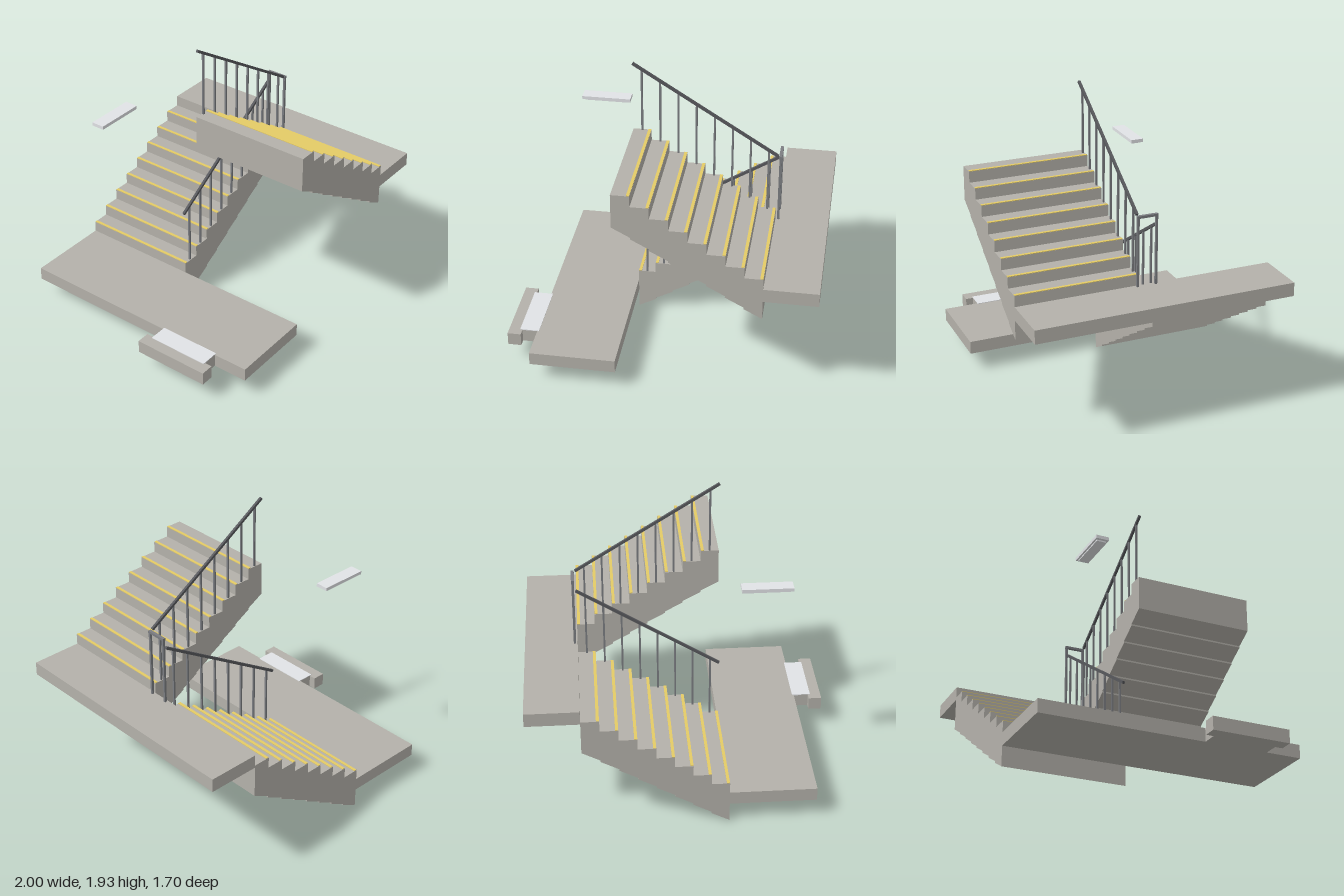
import * as THREE from 'three';

const mat = (name, color) => {
  const m = new THREE.MeshStandardMaterial({ color });
  m.name = name;
  return m;
};

export function createModel() {
  const concrete = mat('concrete', 0xb4b1aa);
  const railMetal = mat('dark rail metal', 0x58595d);
  const postMetal = mat('grey post metal', 0x7c7e82);
  const yellow = mat('nosing yellow', 0xe4cb66);
  const pale = mat('pale grey', 0xe1e3e6);

  const model = new THREE.Group();
  model.name = 'staircase';

  // Box given by its minimum and maximum corners
  const box = (parent, name, material, [x0, y0, z0], [x1, y1, z1]) => {
    const mesh = new THREE.Mesh(new THREE.BoxGeometry(x1 - x0, y1 - y0, z1 - z0), material);
    mesh.position.set((x0 + x1) / 2, (y0 + y1) / 2, (z0 + z1) / 2);
    mesh.name = name;
    parent.add(mesh);
  };

  const steps = 8, run = 0.115, rise = 0.073;
  const startX = -0.26, endX = startX + steps * run;
  const inner = 0.051, outer = 0.852, railZ = -0.061;

  // One flight climbing towards +x on the -z side, with its railing
  function makeFlight(name) {
    const flight = new THREE.Group();
    flight.name = name;

    // Stepped concrete body, with a small ledge under every step
    const top = [], under = [];
    for (let i = 0; i < steps; i++) {
      const x = startX + i * run, y = 0.29 + i * rise;
      top.push([x, y], [x + run, y]);
      under.push([x, i * rise], [x + run, i * rise + 0.062]);
    }
    const outline = [...under, ...top.reverse()].map(([x, y]) => new THREE.Vector2(x, y));
    const body = new THREE.Mesh(
      new THREE.ExtrudeGeometry(new THREE.Shape(outline), { depth: outer - inner, bevelEnabled: false }),
      concrete);
    body.position.z = -outer;
    body.name = 'steps';
    flight.add(body);

    // Yellow nosing strips and balusters
    const railY = x => 0.685 + (x - startX) * (0.58 / 0.92);
    for (let i = 0; i < steps; i++) {
      const x = startX + i * run, y = 0.29 + i * rise, mid = x + run / 2;
      box(flight, 'nosing', yellow, [x + 0.001, y - 0.002, -outer + 0.002], [x + 0.02, y + 0.004, -inner - 0.002]);
      box(flight, 'baluster', postMetal, [mid - 0.006, y, railZ - 0.006], [mid + 0.006, railY(mid), railZ + 0.006]);
    }

    // Sloping handrail
    const rail = new THREE.Mesh(new THREE.BoxGeometry(Math.hypot(0.92, 0.58), 0.017, 0.016), railMetal);
    rail.position.set((startX + endX) / 2, 0.975, railZ);
    rail.rotation.z = Math.atan2(0.58, 0.92);
    rail.name = 'handrail';
    flight.add(rail);
    return flight;
  }

  // The upper flight is the lower one turned half round and raised
  model.add(makeFlight('lowerFlight'));
  const upper = makeFlight('upperFlight');
  upper.rotation.y = Math.PI;
  upper.position.set(startX + endX, 0.658, 0);
  model.add(upper);

  // Landings
  box(model, 'lowerLanding', concrete, [-0.815, 0.13, -outer], [startX, 0.217, outer]);
  box(model, 'upperLanding', concrete, [endX, 0.786, -outer], [1, 0.876, outer]);

  // Doorway slab with its pale threshold
  box(model, 'doorwaySlab', concrete, [-1, 0.13, 0.16], [-0.913, 0.217, 0.67]);
  box(model, 'doorwayNeck', concrete, [-0.913, 0.13, 0.208], [-0.815, 0.217, 0.62]);
  box(model, 'threshold', pale, [-0.928, 0.214, 0.208], [-0.803, 0.221, 0.62]);

  // Railing turn at the upper landing
  for (const z of [railZ, -railZ])
    box(model, 'newel', postMetal, [0.67, 0.876, z - 0.007], [0.685, 1.33, z + 0.007]);
  box(model, 'railTurn', postMetal, [0.667, 1.325, -0.069], [0.687, 1.341, 0.069]);

  // Ceiling lamp
  box(model, 'lampBody', pale, [-0.677, 1.419, -0.438], [-0.356, 1.441, -0.352]);
  box(model, 'lampDiffuser', pale, [-0.658, 1.41, -0.426], [-0.374, 1.419, -0.364]);

  return model;
}
